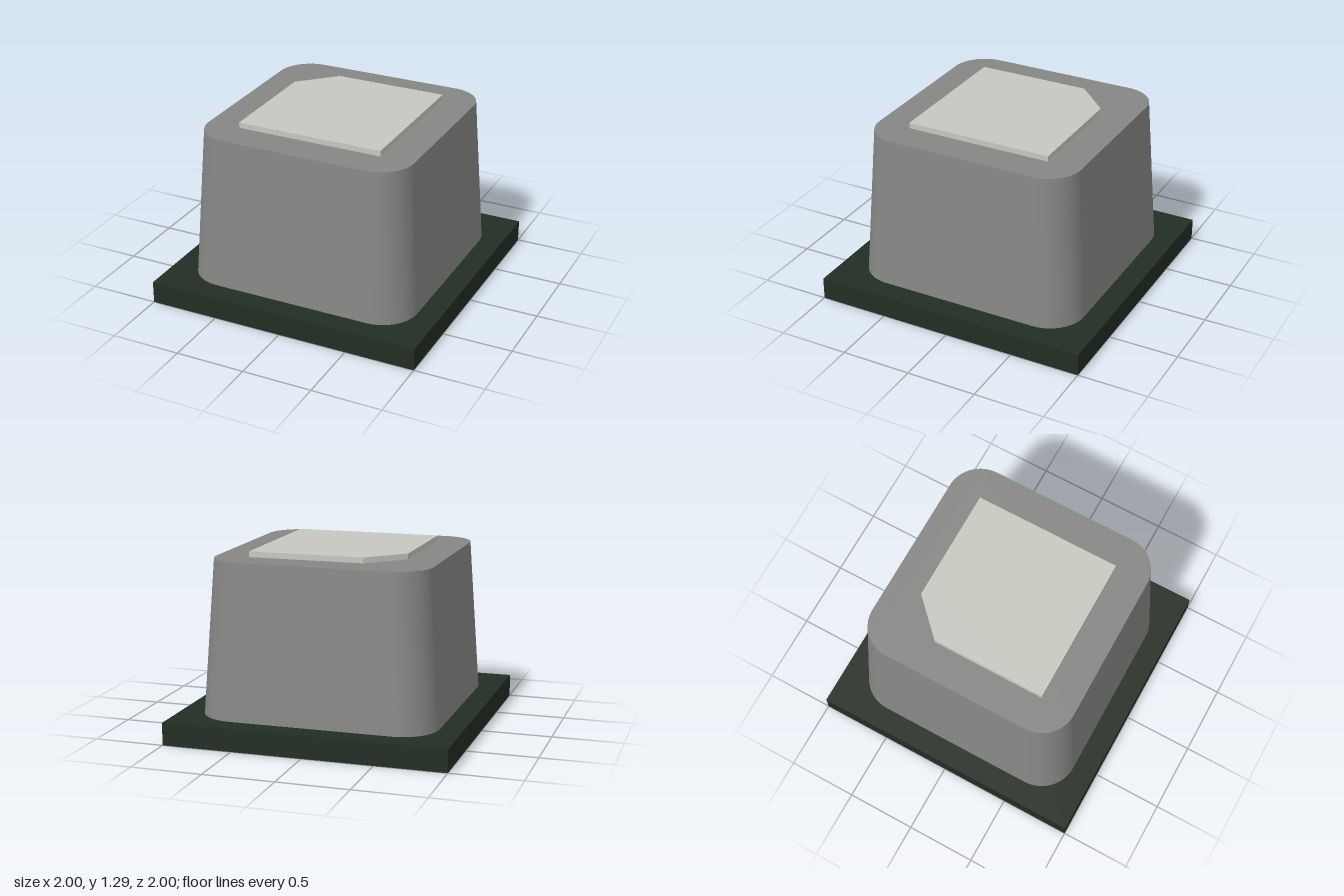
import * as THREE from 'three';
import { toCreasedNormals } from 'three/addons/utils/BufferGeometryUtils.js';

const BASE_TOP = 0.16, BODY_TOP = 1.25, PLATE_TOP = 1.29;

const boardGreen = new THREE.MeshStandardMaterial({ name: 'boardGreen', color: 0x222d23 });
const bodyGrey = new THREE.MeshStandardMaterial({ name: 'bodyGrey', color: 0x868684 });
const plateGrey = new THREE.MeshStandardMaterial({ name: 'plateGrey', color: 0xc6c7bf });

// Square outline with half width h and corner radius r
function roundedSquare(h, r) {
  const shape = new THREE.Shape();
  const c = h - r;
  [[c, c], [-c, c], [-c, -c], [c, -c]].forEach(([x, y], i) =>
    shape.absarc(x, y, r, i * Math.PI / 2, (i + 1) * Math.PI / 2, false));
  return shape;
}

// Upright prism from y0 to y1 (shape y becomes -z)
function prism(shape, y0, y1) {
  const geometry = new THREE.ExtrudeGeometry(shape, { depth: y1 - y0, bevelEnabled: false, curveSegments: 12 });
  return geometry.rotateX(-Math.PI / 2).translate(0, y0, 0);
}

function addPart(group, name, geometry, material) {
  const mesh = new THREE.Mesh(geometry, material);
  mesh.name = name;
  group.add(mesh);
}

export function createModel() {
  const group = new THREE.Group();
  group.name = 'boardComponent';

  // Square base board
  const board = new THREE.BoxGeometry(2, BASE_TOP, 2).translate(0, BASE_TOP / 2, 0);
  addPart(group, 'baseBoard', board, boardGreen);

  // Rounded housing that narrows towards the top
  const housing = prism(roundedSquare(0.84, 0.262), BASE_TOP, BODY_TOP);
  const p = housing.attributes.position;
  for (let i = 0; i < p.count; i++) {
    const t = (p.getY(i) - BASE_TOP) / (BODY_TOP - BASE_TOP);
    const s = THREE.MathUtils.lerp(1, 0.77 / 0.84, t);
    p.setXYZ(i, p.getX(i) * s, p.getY(i), p.getZ(i) * s);
  }
  addPart(group, 'housing', toCreasedNormals(housing, 0.6), bodyGrey);

  // Top plate with one clipped corner at the back right
  const plate = new THREE.Shape([[-0.53, -0.53], [0.53, -0.53], [0.53, 0.53], [-0.285, 0.53], [-0.53, 0.285]]
    .map(([x, y]) => new THREE.Vector2(x, y)));
  addPart(group, 'topPlate', prism(plate, BODY_TOP, PLATE_TOP), plateGrey);

  return group;
}
